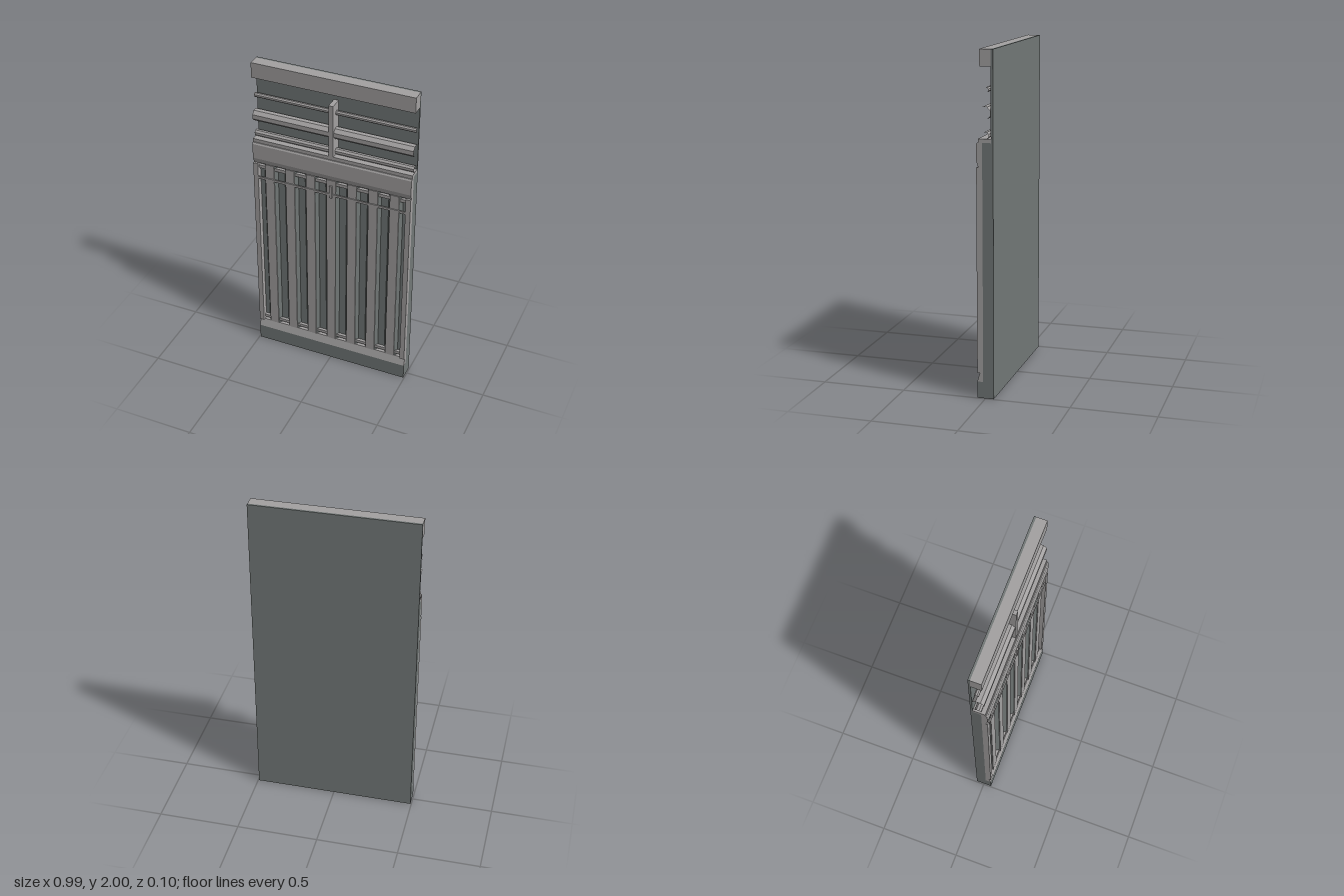
import * as THREE from 'three';

const stone = new THREE.MeshStandardMaterial({ color: 0xa3a1a1 });
stone.name = 'light grey';
const slate = new THREE.MeshStandardMaterial({ color: 0x727877 });
slate.name = 'dark grey';

const W = 0.494; // half width of the panel

export function createModel() {
  const model = new THREE.Group();

  const add = (name, geometry, material) => {
    const mesh = new THREE.Mesh(geometry, material);
    mesh.name = name;
    model.add(mesh);
    return mesh;
  };
  // Box given by its limits on each axis
  const box = (name, material, [x0, x1], [y0, y1], [z0, z1]) => {
    const g = new THREE.BoxGeometry(x1 - x0, y1 - y0, z1 - z0);
    g.translate((x0 + x1) / 2, (y0 + y1) / 2, (z0 + z1) / 2);
    return add(name, g, material);
  };
  // Side profile of [z, y] points, swept over the full width
  const moulding = (name, material, points) => {
    const shape = new THREE.Shape(points.map(([z, y]) => new THREE.Vector2(-z, y)));
    const g = new THREE.ExtrudeGeometry(shape, { depth: 2 * W, bevelEnabled: false });
    g.translate(0, 0, -W).rotateY(Math.PI / 2);
    return add(name, g, material);
  };

  // Back panels
  box('mainPanel', slate, [-W, W], [0, 1.485], [-0.049, 0.014]);
  box('upperBackPlate', slate, [-W, W], [1.485, 2], [-0.049, -0.036]);

  // Top beam, ledge and centre bracket
  box('topBeam', stone, [-W, W], [1.905, 2], [-0.036, 0.028]);
  box('ledge', stone, [-W, W], [1.485, 1.507], [-0.036, 0.038]);
  box('pipeBracket', stone, [-0.014, 0.014], [1.507, 1.84], [-0.036, 0.039]);

  // Open-ended horizontal pipes: height, depth, radius
  for (const [y, z, r] of [[1.777, -0.008, 0.014], [1.65, 0, 0.036], [1.526, -0.005, 0.02]]) {
    const g = new THREE.CylinderGeometry(r, r, 2 * W, 8, 1, true);
    g.rotateY(Math.PI / 8).rotateZ(Math.PI / 2).translate(0, y, z);
    const pipe = add('pipe', g.toNonIndexed(), stone);
    pipe.geometry.computeVertexNormals();
  }

  // Header and base mouldings
  moulding('header', stone, [
    [0.014, 1.345], [0.036, 1.345], [0.049, 1.38], [0.049, 1.475], [0.043, 1.485], [0.014, 1.485],
  ]);
  box('base', slate, [-W, W], [0, 0.098], [0.014, 0.049]);
  moulding('baseSlope', stone, [[0.014, 0.098], [0.049, 0.098], [0.034, 0.15], [0.014, 0.15]]);

  // Side frames
  for (const s of [-1, 1]) {
    const edges = [s * 0.464, s * W].sort((a, b) => a - b);
    box('sideFrame', stone, edges, [0.15, 1.345], [0.014, 0.049]);
  }

  // Vertical slats: dark flared flanks with a light front strip
  for (let i = -3; i <= 3; i++) {
    const x = i * 0.131;
    const flank = new THREE.Shape([
      new THREE.Vector2(x - 0.044, -0.014), new THREE.Vector2(x + 0.044, -0.014),
      new THREE.Vector2(x + 0.028, -0.034), new THREE.Vector2(x - 0.028, -0.034),
    ]);
    const g = new THREE.ExtrudeGeometry(flank, { depth: 1.195, bevelEnabled: false });
    g.rotateX(-Math.PI / 2).translate(0, 0.15, 0);
    add('slatFlanks', g, slate);
    box('slat', stone, [x - 0.028, x + 0.028], [0.15, 1.345], [0.034, 0.04]);
  }

  // Cross rails tying the slats together
  box('upperRail', stone, [-0.464, 0.464], [1.308, 1.328], [0.014, 0.032]);
  box('lowerRail', stone, [-0.464, 0.464], [0.167, 0.186], [0.014, 0.032]);

  // Thin rod with centre clip
  box('rod', stone, [-0.464, 0.464], [1.24, 1.254], [0.038, 0.046]);
  box('rodClip', stone, [-0.009, 0.009], [1.226, 1.308], [0.038, 0.049]);

  return model;
}
